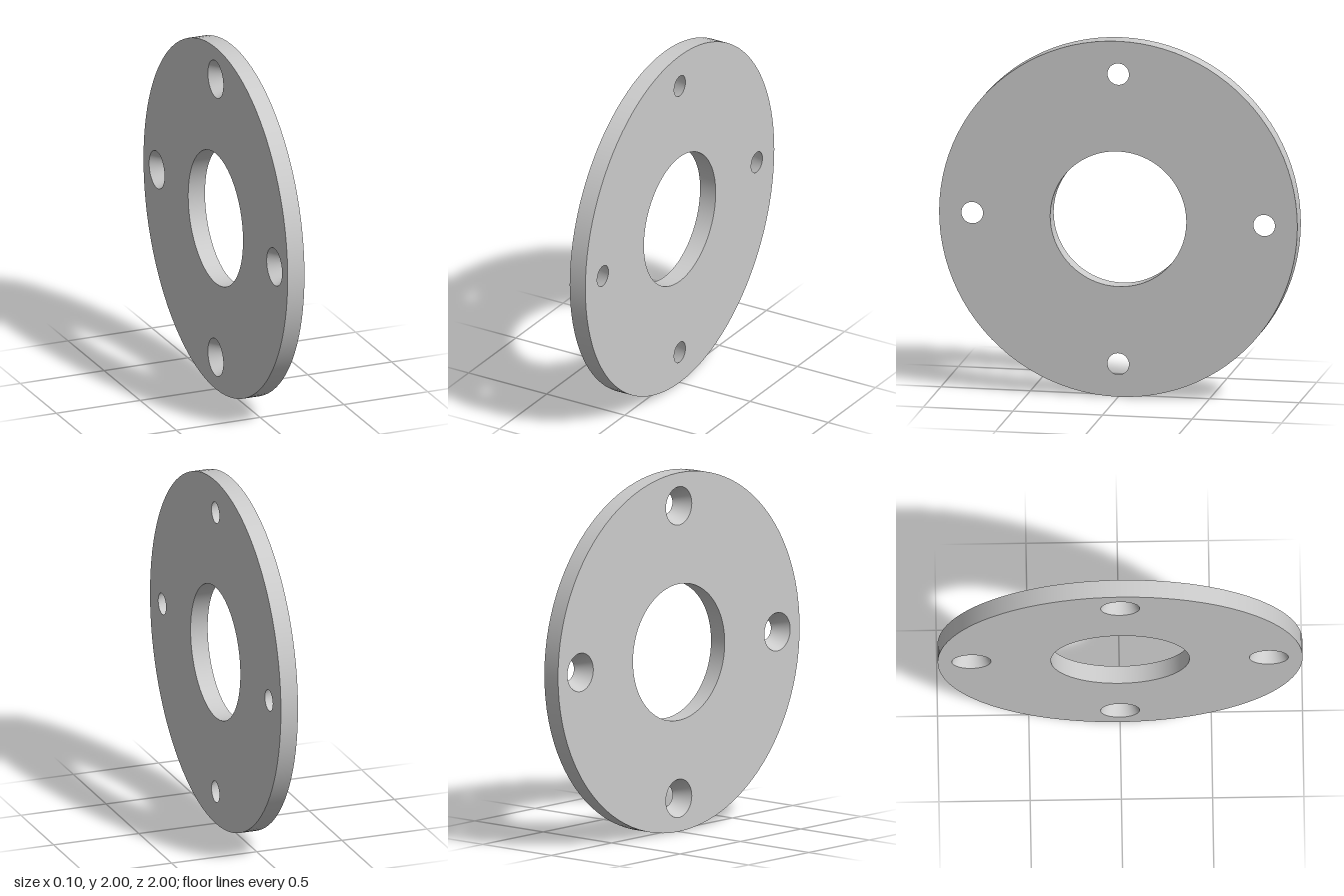
import * as THREE from 'three';

const R = 1, BORE = 0.38, HALF = 0.05;           // disc radius, centre bore, half thickness
const PITCH = 0.815, SMALL = 0.06, LARGE = 0.107; // bolt circle, hole radius on +x and -x sides
const SEGMENTS = 96;

export function createModel() {
  const group = new THREE.Group();
  group.name = 'flangePlate';
  const material = new THREE.MeshStandardMaterial({ color: 0xcccccc });
  const centres = [0, 1, 2, 3].map(i => {
    const a = i * Math.PI / 2;
    return [Math.cos(a) * PITCH, Math.sin(a) * PITCH];
  });

  // Flat annular face with bolt holes, facing +x (side = 1) or -x (side = -1)
  function addFace(name, side, holeRadius) {
    const shape = new THREE.Shape().absarc(0, 0, R, 0, Math.PI * 2);
    const cut = (x, y, r) => shape.holes.push(new THREE.Path().absarc(x, y, r, 0, Math.PI * 2, true));
    cut(0, 0, BORE);
    centres.forEach(([z, y]) => cut(z, y, holeRadius));
    const mesh = new THREE.Mesh(new THREE.ShapeGeometry(shape, SEGMENTS / 2), material);
    mesh.name = name;
    mesh.rotation.y = side * Math.PI / 2;
    mesh.position.set(side * HALF, 1, 0);
    group.add(mesh);
  }

  // Wall turned about the x axis; a profile running towards +x faces outward, towards -x inward
  function addWall(name, profile, z = 0, y = 0) {
    const points = profile.map(([r, x]) => new THREE.Vector2(r, x));
    const mesh = new THREE.Mesh(new THREE.LatheGeometry(points, SEGMENTS), material);
    mesh.name = name;
    mesh.rotation.z = -Math.PI / 2;
    mesh.position.set(0, 1 + y, z);
    group.add(mesh);
  }

  addFace('plainFace', 1, SMALL);
  addFace('countersunkFace', -1, LARGE);
  addWall('outerRim', [[R, -HALF], [R, HALF]]);
  addWall('centreBore', [[BORE, HALF], [BORE, -HALF]]);

  // Tapered bolt holes, widening towards -x
  centres.forEach(([z, y], i) =>
    addWall(`boltHole${i + 1}`, [[SMALL, HALF], [LARGE, -HALF]], z, y));

  return group;
}
